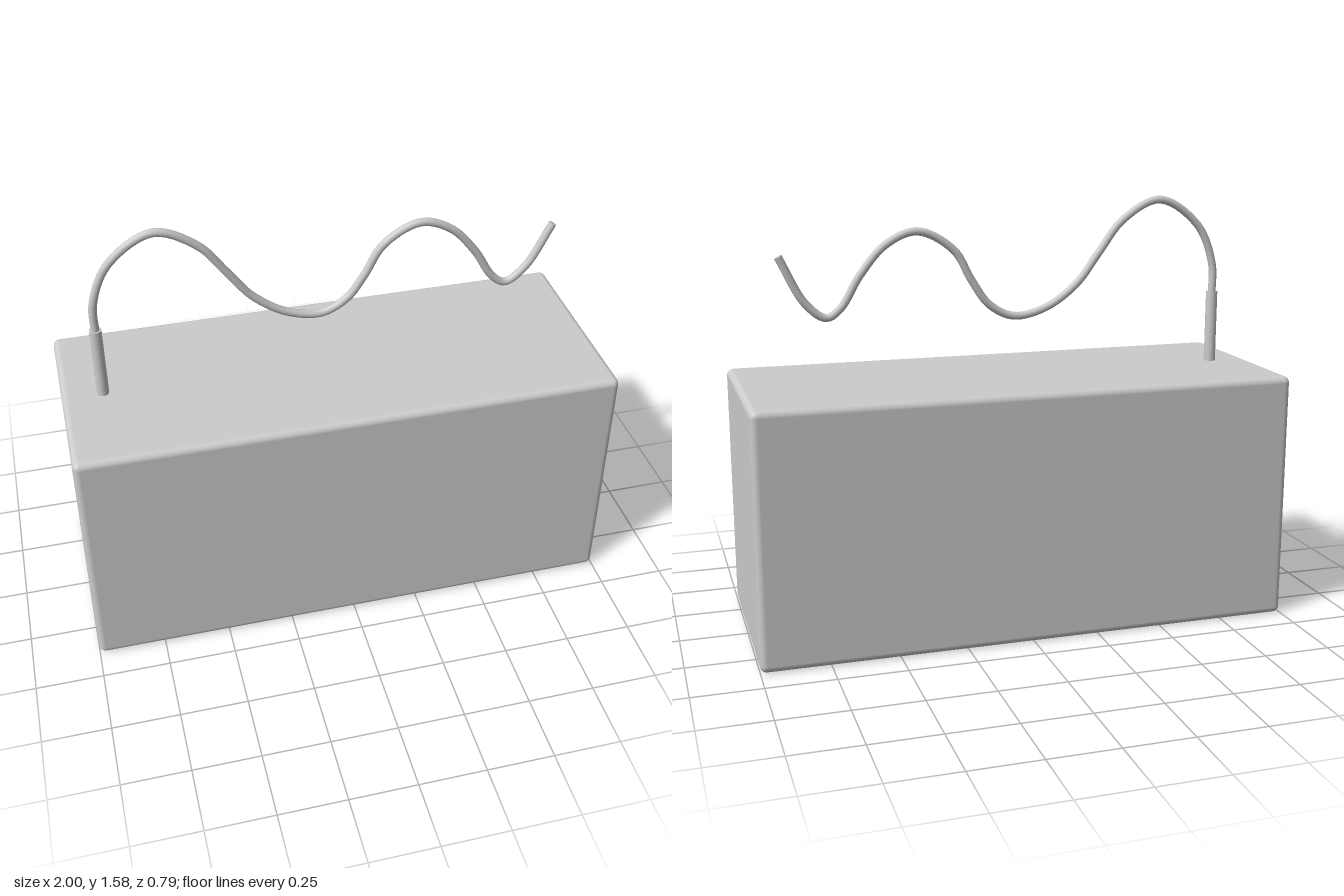
import * as THREE from 'three';
import { RoundedBoxGeometry } from 'three/addons/geometries/RoundedBoxGeometry.js';

const BOX = { w: 2, h: 0.935, d: 0.785, bevel: 0.025 };
const POST = { x: -0.85, top: 1.21, radius: 0.022 };
const WIRE_RADIUS = 0.015;

// Centre line of the bent wire, in the x-y plane
const WIRE_PATH = [
  [-0.85, 1.19], [-0.846, 1.32], [-0.78, 1.47], [-0.62, 1.57], [-0.47, 1.497],
  [-0.377, 1.38], [-0.286, 1.262], [-0.163, 1.176], [-0.035, 1.15], [0.06, 1.198],
  [0.126, 1.289], [0.195, 1.405], [0.329, 1.476], [0.446, 1.433], [0.543, 1.326],
  [0.617, 1.208], [0.671, 1.174], [0.746, 1.23], [0.837, 1.4],
];

export function createModel() {
  const group = new THREE.Group();
  const material = new THREE.MeshStandardMaterial({ color: 0xcccccc });
  const add = (name, geometry, x = 0, y = 0, z = 0) => {
    const mesh = new THREE.Mesh(geometry, material);
    mesh.name = name;
    mesh.position.set(x, y, z);
    group.add(mesh);
    return mesh;
  };

  // Base block with softened edges
  add('baseBox', new RoundedBoxGeometry(BOX.w, BOX.h, BOX.d, 4, BOX.bevel), 0, BOX.h / 2);

  // Sleeve that holds the wire, sunk slightly into the block
  const bottom = BOX.h - 0.02;
  const height = POST.top - bottom;
  add('wireHolder', new THREE.CylinderGeometry(POST.radius, POST.radius, height, 24),
    POST.x, bottom + height / 2);

  // Wavy wire
  const curve = new THREE.CatmullRomCurve3(
    WIRE_PATH.map(([x, y]) => new THREE.Vector3(x, y, 0)), false, 'centripetal');
  add('wire', new THREE.TubeGeometry(curve, 160, WIRE_RADIUS, 12));

  // Flat cap closing the free end of the wire
  const cap = add('wireEnd', new THREE.CircleGeometry(WIRE_RADIUS, 12));
  cap.position.copy(curve.getPointAt(1));
  cap.quaternion.setFromUnitVectors(new THREE.Vector3(0, 0, 1), curve.getTangentAt(1));

  return group;
}
